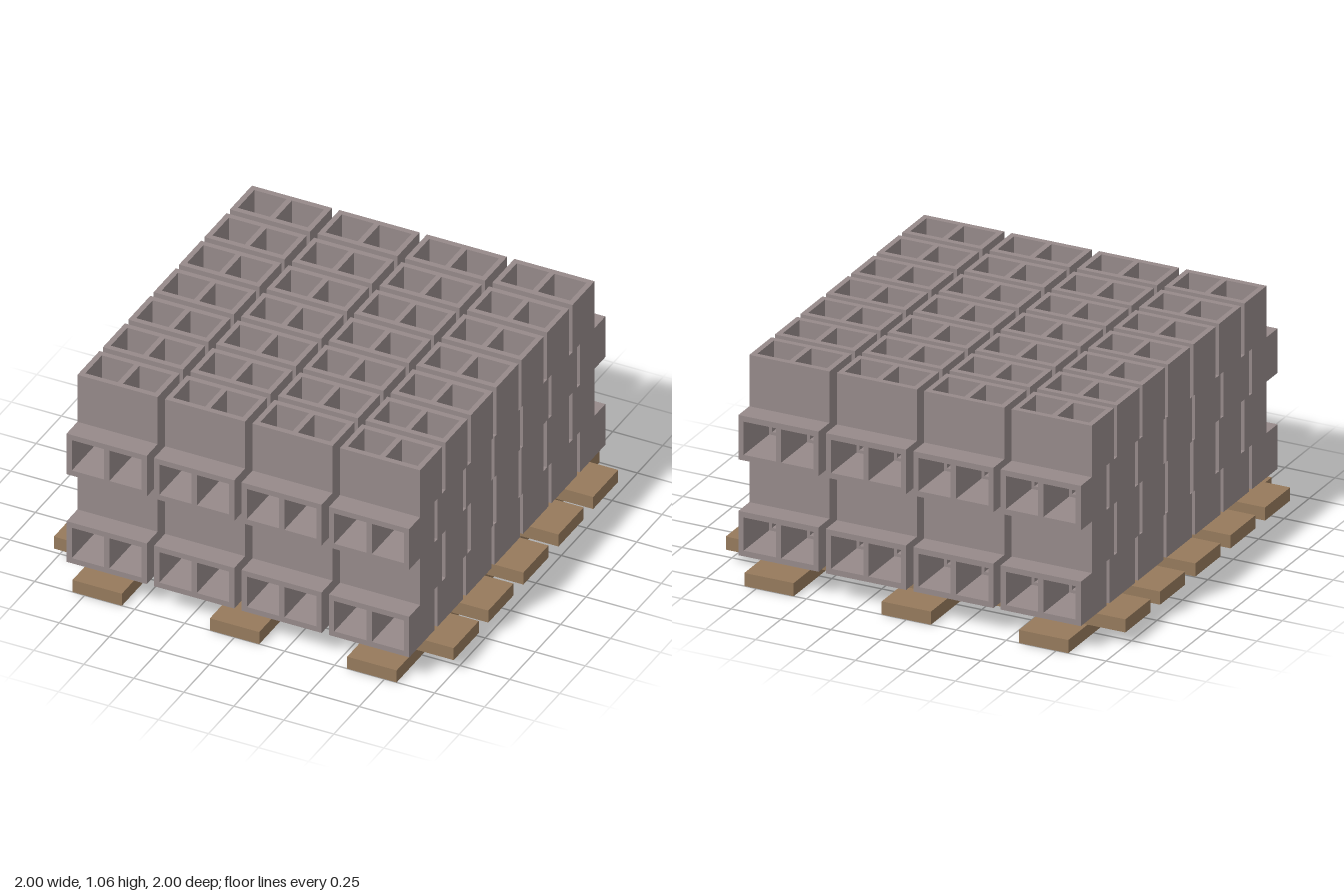
import * as THREE from 'three';

const BLOCK_W = 0.401, BLOCK_H = 0.217, BLOCK_D = 0.251; // depth runs along the holes
const PLANK_W = 0.247, PLANK_T = 0.064;

// Hollow block with two square holes, centred, holes along z
function blockGeometry() {
  const rect = (target, cx, w, h) => {
    target.moveTo(cx - w / 2, -h / 2);
    target.lineTo(cx + w / 2, -h / 2);
    target.lineTo(cx + w / 2, h / 2);
    target.lineTo(cx - w / 2, h / 2);
    target.closePath();
    return target;
  };
  const shape = rect(new THREE.Shape(), 0, BLOCK_W, BLOCK_H);
  for (const cx of [-0.094, 0.094]) shape.holes.push(rect(new THREE.Path(), cx, 0.161, 0.162));
  const geometry = new THREE.ExtrudeGeometry(shape, { depth: BLOCK_D, bevelEnabled: false });
  return geometry.translate(0, 0, -BLOCK_D / 2);
}

export function createModel() {
  const model = new THREE.Group();
  model.name = 'palletOfBlocks';

  const concrete = new THREE.MeshStandardMaterial({ color: 0x968a8a });
  concrete.name = 'concrete';
  const wood = new THREE.MeshStandardMaterial({ color: 0x967a5c });
  wood.name = 'wood';

  // Pallet: three runners front to back, five slats across
  const pallet = new THREE.Group();
  pallet.name = 'pallet';
  model.add(pallet);
  const runnerGeometry = new THREE.BoxGeometry(PLANK_W, PLANK_T, 2);
  for (const x of [-0.687, 0, 0.687]) {
    const runner = new THREE.Mesh(runnerGeometry, wood);
    runner.name = 'runner';
    runner.position.set(x, PLANK_T / 2, 0);
    pallet.add(runner);
  }
  const slatGeometry = new THREE.BoxGeometry(2, PLANK_T, PLANK_W);
  for (const z of [-0.687, -0.346, 0, 0.346, 0.687]) {
    const slat = new THREE.Mesh(slatGeometry, wood);
    slat.name = 'slat';
    slat.position.set(0, PLANK_T * 1.5, z);
    pallet.add(slat);
  }

  // Four layers of 4 x 7 blocks, alternately lying (holes along z) and upright (holes along y)
  const lying = blockGeometry();
  const upright = blockGeometry().rotateX(-Math.PI / 2);
  let base = PLANK_T * 2;
  for (let layer = 0; layer < 4; layer++) {
    const isUpright = layer % 2 === 1;
    const height = isUpright ? BLOCK_D : BLOCK_H;
    const pitchZ = isUpright ? 0.2505 : 0.2805;
    const group = new THREE.Group();
    group.name = isUpright ? 'uprightBlockLayer' : 'lyingBlockLayer';
    for (let col = 0; col < 4; col++) {
      for (let row = 0; row < 7; row++) {
        const block = new THREE.Mesh(isUpright ? upright : lying, concrete);
        block.name = 'block';
        block.position.set((col - 1.5) * 0.4375, base + height / 2, (row - 3) * pitchZ);
        group.add(block);
      }
    }
    model.add(group);
    base += height;
  }
  return model;
}
